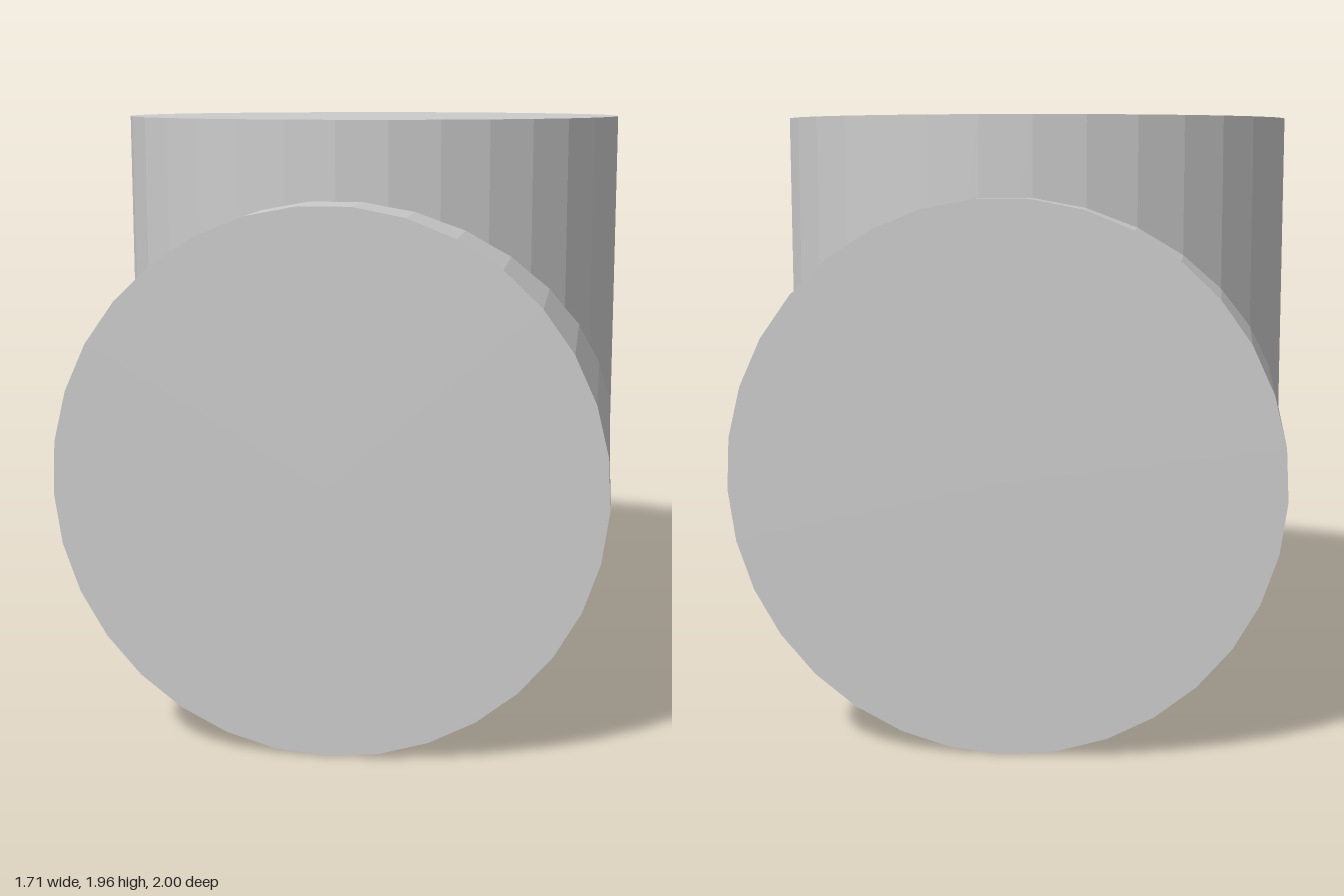
import * as THREE from 'three';

const SIDES = 33;

export function createModel() {
  const group = new THREE.Group();
  const material = new THREE.MeshStandardMaterial({ color: 0xcccccc, flatShading: true });

  function addPipe(name, radius, length) {
    const mesh = new THREE.Mesh(new THREE.CylinderGeometry(radius, radius, length, SIDES), material);
    mesh.name = name;
    group.add(mesh);
    return mesh;
  }

  // Horizontal run from front to back, with a corner of its outline at the bottom
  const mainPipe = addPipe('mainPipe', 0.858, 2);
  mainPipe.geometry.rotateX(Math.PI / 2);
  mainPipe.position.y = 0.858;

  // Upright branch, slightly behind the middle, sunk to the axis of the run
  const bottom = 0.82, top = 1.96;
  const branchPipe = addPipe('branchPipe', 0.856, top - bottom);
  branchPipe.position.set(0, (top + bottom) / 2, -0.064);

  return group;
}
